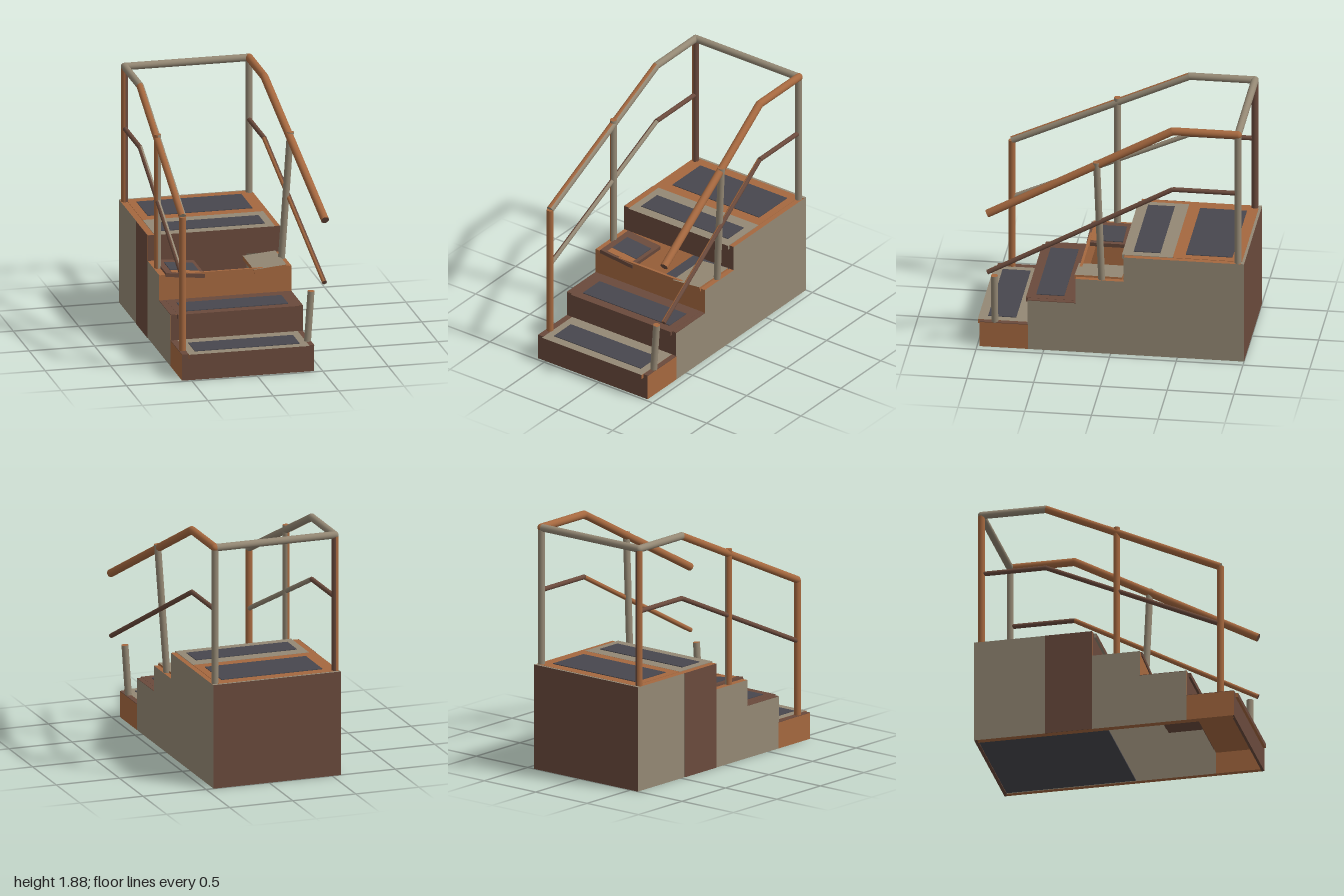
import * as THREE from 'three';

const mat = (name, hex) => {
  const m = new THREE.MeshStandardMaterial({ color: hex });
  m.name = name;
  return m;
};

export function createModel() {
  const taupe = mat('worn taupe paint', 0x948874);
  const rust = mat('orange rust', 0xa5683f);
  const brown = mat('dark brown rust', 0x6a4a3c);
  const dark = mat('dark grip', 0x48474e);
  const root = new THREE.Group();
  root.name = 'stairs';

  const add = (name, geo, material, parent = root) => {
    const m = new THREE.Mesh(geo, material);
    m.name = name;
    parent.add(m);
    return m;
  };
  // Box given by its limits on each axis
  const box = (name, x0, x1, y0, y1, z0, z1, material, parent) => {
    const m = add(name, new THREE.BoxGeometry(x1 - x0, y1 - y0, z1 - z0), material, parent);
    m.position.set((x0 + x1) / 2, (y0 + y1) / 2, (z0 + z1) / 2);
    return m;
  };

  // Stepped side walls, drawn in (z, y)
  const wall = (name, xOuter, thick, faces, edges) => {
    const s = new THREE.Shape();
    [[0.62, 0], [0.62, 0.4], [0.26, 0.4], [0.26, 0.6], [-0.1, 0.6], [-0.1, 0.8], [-0.98, 0.8], [-0.98, 0]]
      .forEach(([z, y], i) => (i ? s.lineTo(z, y) : s.moveTo(z, y)));
    const g = new THREE.ExtrudeGeometry(s, { depth: thick, bevelEnabled: false });
    g.rotateY(-Math.PI / 2);
    add(name, g, [faces, edges]).position.x = xOuter;
  };
  wall('rightWall', 0.44, 0.04, taupe, rust);
  wall('leftWall', -0.525, 0.045, taupe, rust);
  wall('leftWallLining', -0.52, 0.005, rust, rust);
  box('leftWallPatch', -0.573, -0.57, 0, 0.8, -0.46, -0.1, brown);

  // Low side walls of the first step, with rusted top edges
  for (const [x0, x1] of [[-0.57, -0.52], [0.4, 0.44]]) {
    box('firstStepWall', x0, x1, 0, 0.2, 0.62, 0.97, rust);
    box('firstStepEdge', x0, x1, 0.199, 0.203, 0.62, 0.98, brown);
    box('secondStepEdge', x0, x1, 0.399, 0.403, 0.26, 0.62, brown);
  }

  // Risers
  [[0.98, brown, rust], [0.622, brown, brown], [0.262, rust, rust], [-0.098, brown, brown]]
    .forEach(([z, front, back], i) => {
      const side = i ? taupe : rust;
      box('riser', -0.569, 0.4395, i * 0.2, i * 0.2 + 0.199, z - 0.02, z, [side, side, front, brown, front, back]);
    });
  box('backWall', -0.57, 0.44, 0, 0.802, -1, -0.975, [taupe, taupe, taupe, brown, brown, brown]);

  // Treads and platform
  box('firstTread', -0.52, 0.4, 0.17, 0.204, 0.62, 1, [rust, rust, taupe, rust, brown, rust]);
  box('secondTread', -0.52, 0.4, 0.37, 0.404, 0.26, 0.64, brown);
  box('fourthTread', -0.52, 0.4, 0.77, 0.804, -0.46, -0.08, [taupe, taupe, taupe, taupe, brown, taupe]);
  box('platform', -0.52, 0.4, 0.77, 0.803, -0.98, -0.46, rust);
  box('floorPlate', -0.52, 0.4, 0.005, 0.014, -0.975, 0.01, dark);

  // Grip mats
  for (const [y, z0, z1] of [[0.204, 0.72, 0.93], [0.404, 0.36, 0.57], [0.804, -0.36, -0.16], [0.803, -0.9, -0.55]])
    box('gripMat', -0.46, 0.34, y - 0.002, y + 0.005, z0, z1, dark);

  // Broken third tread: two sagging pieces
  const leftPiece = new THREE.Group();
  leftPiece.name = 'brokenTreadLeft';
  leftPiece.position.set(-0.52, 0.615, 0);
  leftPiece.rotation.z = -0.1;
  root.add(leftPiece);
  box('slab', 0, 0.3, -0.03, 0, -0.08, 0.27, brown, leftPiece);
  box('gripMat', 0.05, 0.27, -0.002, 0.005, 0, 0.19, dark, leftPiece);
  box('rustEdge', 0.05, 0.27, -0.002, 0.003, 0.19, 0.25, rust, leftPiece);
  const rightPiece = new THREE.Group();
  rightPiece.name = 'brokenTreadRight';
  rightPiece.position.set(0.4, 0.615, 0);
  rightPiece.rotation.z = 0.09;
  root.add(rightPiece);
  box('slab', -0.25, 0, -0.035, 0, -0.08, 0.275, [rust, rust, taupe, rust, rust, rust], rightPiece);

  // Pipe from p to q: one colour on its +x half, another on its -x half
  const pipe = (name, p, q, r, plus, minus = plus, end = plus, turn = 0) => {
    const a = new THREE.Vector3(...p), d = new THREE.Vector3(...q).sub(a);
    const g = new THREE.Group();
    g.name = name;
    g.position.copy(a).addScaledVector(d, 0.5);
    g.quaternion.setFromUnitVectors(new THREE.Vector3(0, 1, 0), d.clone().normalize());
    const len = d.length();
    const half = (start, sweep, m) =>
      add(name + 'Half', new THREE.CylinderGeometry(r, r, len, 10, 1, false, start, sweep), [m, end, end], g);
    half(turn, Math.PI - turn, plus);
    half(Math.PI, Math.PI + turn, minus);
    root.add(g);
  };
  const joint = (p, r, m) => add('railJoint', new THREE.SphereGeometry(r, 16, 10), m).position.set(...p);

  // Left handrail and back bar
  const L = -0.54, R = 0.41, B = -0.95;
  pipe('leftHandrail', [L, 1.24, 0.87], [L, 1.85, -0.46], 0.028, taupe, rust, taupe, 0.5);
  pipe('leftHandrailTop', [L, 1.85, -0.46], [L, 1.85, B], 0.028, taupe);
  pipe('backBar', [L, 1.85, B], [R, 1.85, B], 0.028, taupe);
  joint([L, 1.85, -0.46], 0.028, taupe);
  joint([L, 1.85, B], 0.028, taupe);
  pipe('leftMidRail', [L, 0.77, 0.87], [L, 1.37, -0.46], 0.018, taupe, brown);
  pipe('leftMidRailTop', [L, 1.37, -0.46], [L, 1.37, B], 0.018, brown);

  // Right handrail, bent outward
  pipe('rightHandrail', [0.54, 1.145, 0.91], [R, 1.85, -0.46], 0.03, rust, rust, brown);
  pipe('rightHandrailTop', [R, 1.85, -0.46], [R, 1.85, B], 0.03, rust);
  joint([R, 1.85, -0.46], 0.03, rust);
  joint([R, 1.85, B], 0.03, rust);
  pipe('rightMidRail', [0.535, 0.66, 0.91], [R, 1.37, -0.46], 0.018, brown, rust);
  pipe('rightMidRailTop', [R, 1.37, -0.46], [R, 1.37, B], 0.018, brown);

  // Posts
  pipe('leftFrontPost', [L, 0.2, 0.87], [L, 1.24, 0.87], 0.026, rust);
  pipe('leftMiddlePost', [L, 0.6, 0.08], [L, 1.64, 0.08], 0.026, taupe, rust, rust);
  pipe('leftRearPost', [L, 0.8, B], [L, 1.85, B], 0.026, brown, rust);
  pipe('rightRearPost', [R, 0.8, B], [R, 1.85, B], 0.026, taupe);
  pipe('rightMiddlePost', [0.41, 0.59, 0.07], [0.472, 1.59, 0.1], 0.026, taupe, taupe, rust);
  pipe('brokenFrontPost', [0.415, 0.2, 0.87], [0.442, 0.59, 0.87], 0.026, taupe, taupe, rust);

  return root;
}
